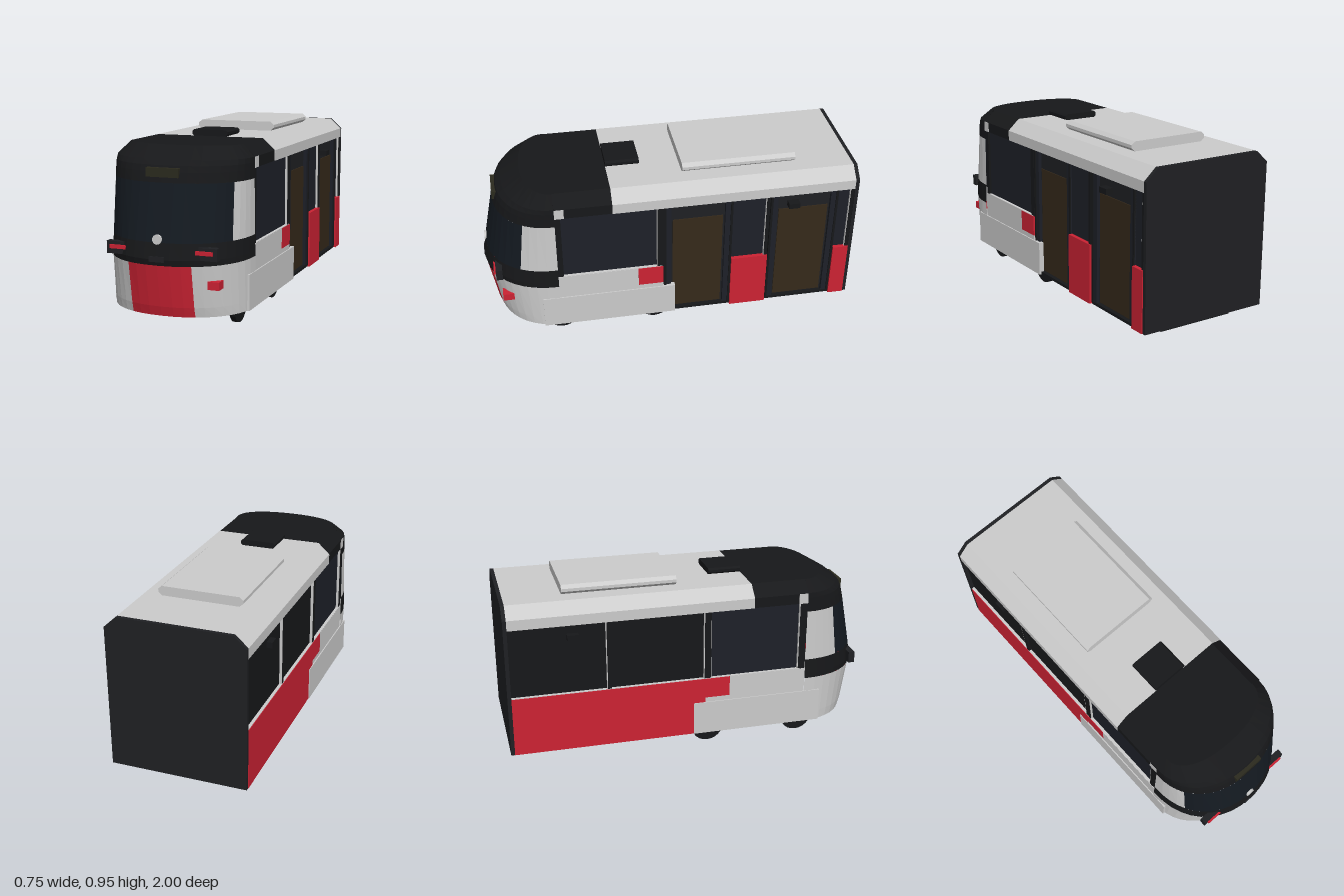
import * as THREE from 'three';

const GREY = 0xcccccc, RED = 0xcc2233, BLACK = 0x17181a, GLASS = 0x1d2028, DARK = 0x1f2023, BROWN = 0x35291a;

export function createModel() {
  const model = new THREE.Group();
  model.name = 'tramCar';
  const mats = {};
  const mat = (color, double) => mats[color + '_' + !!double] ??= new THREE.MeshStandardMaterial({
    color, flatShading: true, side: double ? THREE.DoubleSide : THREE.FrontSide });

  function add(name, geo, color, double) {
    const m = new THREE.Mesh(geo, mat(color, double));
    m.name = name;
    model.add(m);
    return m;
  }
  // box given by its limits on each axis
  function box(name, color, x0, x1, y0, y1, z0, z1) {
    const m = add(name, new THREE.BoxGeometry(Math.abs(x1 - x0), y1 - y0, z1 - z0), color);
    m.position.set((x0 + x1) / 2, (y0 + y1) / 2, (z0 + z1) / 2);
    return m;
  }
  // half outline in x, y mirrored and extruded along z
  function prism(name, color, half, z0, z1) {
    const pts = [...half, ...half.map(([x, y]) => [-x, y]).reverse()].map(p => new THREE.Vector2(...p));
    const geo = new THREE.ExtrudeGeometry(new THREE.Shape(pts), { depth: z1 - z0, bevelEnabled: false });
    geo.translate(0, 0, z0);
    return add(name, geo, color);
  }

  // ---- rounded nose: height, half width, front z ----
  const Z0 = 0.62;
  const rows = [[0.09, 0.366, 0.94], [0.14, 0.366, 0.955], [0.35, 0.366, 0.993], [0.38, 0.365, 1.0], [0.46, 0.363, 0.985],
    [0.74, 0.36, 0.928], [0.79, 0.36, 0.915], [0.82, 0.36, 0.902], [0.845, 0.358, 0.872], [0.905, 0.3, 0.77]];
  function nosePoint(row, a) {
    const [y, w, d] = row, s = Math.sin(a), c = Math.max(0, Math.cos(a));
    return [w * Math.sign(s) * Math.abs(s) ** 0.91, y, Z0 + (d - Z0) * c ** 0.91];
  }
  function nosePatch(name, color, r0, r1, a0, a1, seg) {
    const pos = [], idx = [];
    for (let r = r0; r <= r1; r++)
      for (let i = 0; i <= seg; i++) pos.push(...nosePoint(rows[r], a0 + (a1 - a0) * i / seg));
    for (let r = 0; r < r1 - r0; r++)
      for (let i = 0; i < seg; i++) {
        const a = r * (seg + 1) + i, b = a + seg + 1;
        idx.push(a, a + 1, b, a + 1, b + 1, b);
      }
    const geo = new THREE.BufferGeometry();
    geo.setAttribute('position', new THREE.Float32BufferAttribute(pos, 3));
    geo.setIndex(idx);
    geo.computeVertexNormals();
    add(name, geo, color, true);
  }
  const H = Math.PI / 2, redA = 0.43, paneA = 1.05;
  nosePatch('noseCentrePanel', RED, 0, 2, -redA, redA, 6);
  nosePatch('bumperBand', BLACK, 2, 4, -H, H, 20);
  nosePatch('windshield', 0x141a21, 4, 5, -paneA, paneA, 14);
  nosePatch('noseBrow', BLACK, 5, 9, -H, H, 20);
  for (const s of [-1, 1]) {
    const span = (a, b) => s > 0 ? [a, b] : [-b, -a];
    nosePatch('noseSidePanel', GREY, 0, 2, ...span(redA, H), 8);
    nosePatch('cornerPane', GREY, 4, 5, ...span(paneA, H), 4);
  }
  // flat lid over the nose
  const lid = new THREE.Shape();
  for (let i = 0; i <= 20; i++) {
    const [x, , z] = nosePoint(rows[9], -H + Math.PI * i / 20);
    i ? lid.lineTo(x, -z) : lid.moveTo(x, -z);
  }
  const lidGeo = new THREE.ShapeGeometry(lid);
  lidGeo.rotateX(-H).translate(0, 0.905, 0);
  add('noseRoof', lidGeo, BLACK, true);

  // ---- nose details ----
  box('destinationDisplay', 0x2b2a1e, -0.085, 0.085, 0.765, 0.81, 0.88, 0.925);
  const lamp = add('frontBadge', new THREE.CylinderGeometry(0.024, 0.024, 0.02, 20), GREY);
  lamp.rotation.x = H;
  lamp.position.set(0, 0.475, 0.98);
  box('couplerPlate', DARK, -0.04, 0.04, 0.368, 0.395, 0.97, 1.0);
  for (const s of [-1, 1]) {
    box('lightHousing', DARK, s * 0.195, s * 0.29, 0.38, 0.442, 0.91, 0.945);
    box('lightBar', RED, s * 0.183, s * 0.27, 0.407, 0.426, 0.935, 0.955);
  }
  box('noseReflector', RED, 0.23, 0.29, 0.235, 0.275, 0.86, 0.92);

  // ---- roof and rear ----
  const roofHalf = [[0.365, 0.79], [0.365, 0.845], [0.3, 0.905]];
  prism('mainRoof', GREY, roofHalf, -0.98, 0.32);
  prism('frontRoof', BLACK, roofHalf.map(([x, y]) => [x - 0.003, y]), 0.32, Z0);
  prism('rearWall', DARK, [[0.362, 0.09], [0.365, 0.845], [0.3, 0.905]], -1, -0.98);
  prism('roofUnit', GREY, [[0.205, 0.905], [0.225, 0.922], [0.225, 0.938], [0.205, 0.955]], -0.68, -0.07);
  prism('roofHatch', BLACK, [[0.09, 0.905], [0.1, 0.915], [0.1, 0.928], [0.09, 0.938]], 0.14, 0.32);

  // ---- core and underside ----
  box('bodyCore', DARK, -0.335, 0.325, 0.095, 0.8, -0.98, Z0);
  box('floor', BLACK, -0.345, 0.345, 0.09, 0.1, -0.98, 0.72);
  box('underframe', DARK, -0.25, 0.25, 0.06, 0.09, -0.93, 0.71);
  box('underframeKeel', BLACK, -0.215, 0.215, 0.047, 0.06, -0.93, 0.71);
  for (const z of [0.61, 0.09])
    for (const s of [-1, 1]) {
      const wheel = add('wheel', new THREE.CylinderGeometry(0.09, 0.09, 0.028, 24), BLACK);
      wheel.rotation.z = H;
      wheel.position.set(s * 0.27, 0.09, z);
    }

  // ---- parts shared by both sides ----
  for (const s of [-1, 1]) {
    const wall = (name, color, x0, x1, y0, y1, z0, z1) => box(name, color, s * x0, s * x1, y0, y1, z0, z1);
    wall('frontLowerPanel', GREY, 0.32, 0.362, 0.09, 0.41, 0.19, Z0);
    wall('steppedPanel', GREY, 0.32, 0.362, 0.09, 0.3, 0.055, 0.19);
    wall('redStep', RED, 0.32, 0.364, 0.3, 0.41, 0.055, 0.19);
    wall('wheelSkirt', GREY, 0.34, 0.368, 0.09, 0.273, -0.01, 0.71);
    wall('sideMarker', BLACK, 0.33, 0.375, 0.71, 0.74, -0.68, -0.62);
    wall('cornerTrim', GREY, 0.34, 0.3635, 0.79, 0.845, 0.57, Z0);
    wall('frontPillar', BLACK, 0.32, 0.358, 0.41, 0.79, 0.59, Z0);
    wall('sideWindow', GLASS, 0.32, 0.345, 0.41, 0.79, 0.08, 0.6);
    wall('windowSill', GREY, 0.32, 0.361, 0.405, 0.413, 0.06, 0.59);
    wall('pillarEdge', GREY, 0.32, 0.357, 0.41, 0.79, 0.084, 0.088);
    wall('windowPillar', BLACK, 0.32, 0.36, 0.41, 0.79, 0.05, 0.085);
  }

  // ---- door side ----
  for (const z of [-0.135, -0.71]) {
    box('doorFrame', DARK, 0.32, 0.334, 0.1, 0.79, z - 0.185, z + 0.185);
    box('doorLeaf', BROWN, 0.325, 0.339, 0.11, 0.69, z - 0.135, z + 0.135);
    box('doorStep', BLACK, 0.32, 0.355, 0.09, 0.105, z - 0.185, z + 0.185);
    for (const d of [-1, 1]) {
      const c = z + d * 0.165;
      box('doorPost', GLASS, 0.32, 0.352, 0.1, 0.79, c - 0.02, c + 0.02);
      box('doorPostTrim', BLACK, 0.32, 0.358, 0.1, 0.79, c + d * 0.014 - 0.006, c + d * 0.014 + 0.006);
    }
  }
  for (const [z0, z1] of [[-0.52, -0.32], [-0.98, -0.895]]) {
    box('redLowerPanel', RED, 0.32, 0.368, 0.09, 0.41, z0, z1);
    box('doorSideWindow', GLASS, 0.32, 0.346, 0.41, 0.79, z0, z1);
    box('windowEdge', GREY, 0.32, 0.358, 0.41, 0.79, z0 + 0.018, z0 + 0.022);
    box('windowPost', BLACK, 0.32, 0.36, 0.41, 0.79, z0, z0 + 0.019);
  }

  // ---- closed side ----
  box('redSidePanel', RED, -0.32, -0.364, 0.09, 0.41, -0.98, 0.055);
  box('rearWindowBand', BLACK, -0.32, -0.345, 0.41, 0.79, -0.98, 0.06);
  box('rearWindowSill', GREY, -0.32, -0.361, 0.405, 0.413, -0.98, 0.06);
  for (const z of [-0.475, 0.05, 0.58]) {
    box('sidePillarEdge', GREY, -0.32, -0.359, 0.41, 0.79, z - 0.004, z);
    box('sidePillar', BLACK, -0.32, -0.36, 0.41, 0.79, z, z + 0.02);
  }
  return model;
}
